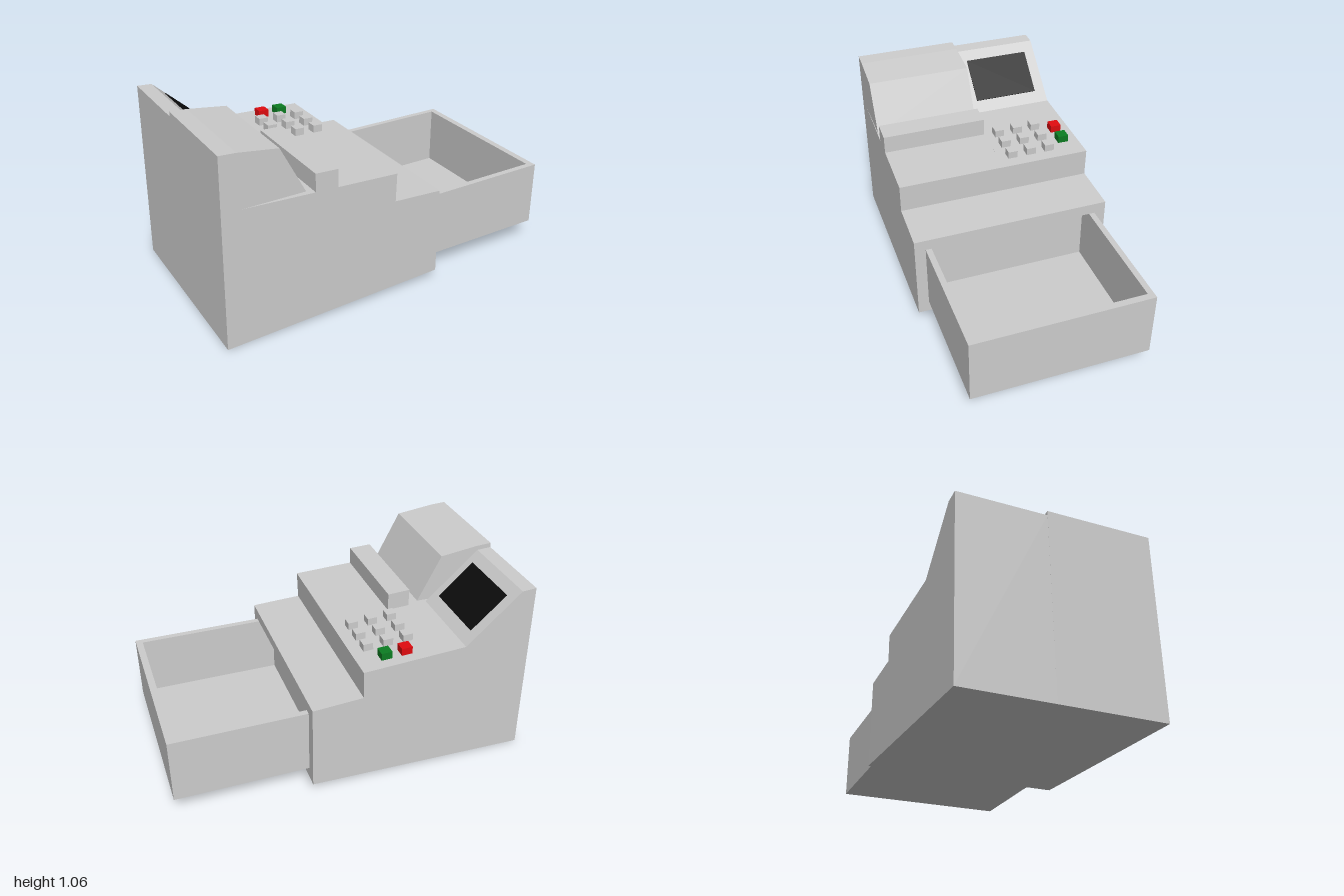
import * as THREE from 'three';

export function createModel() {
  const root = new THREE.Group();
  root.name = 'cashRegister';

  const material = (name, color) => {
    const m = new THREE.MeshStandardMaterial({ color });
    m.name = name;
    return m;
  };
  const grey = material('casing grey', 0xcccccc);
  const black = material('screen black', 0x0c0c0c);
  const red = material('cancel red', 0xe00c10);
  const green = material('confirm green', 0x0c7d22);

  const add = (name, geometry, mat, parent = root) => {
    const mesh = new THREE.Mesh(geometry, mat);
    mesh.name = name;
    parent.add(mesh);
    return mesh;
  };
  const polygon = (pts) => new THREE.Shape(pts.map(([x, y]) => new THREE.Vector2(x, y)));
  const rect = (x0, y0, x1, y1) => polygon([[x0, y0], [x1, y0], [x1, y1], [x0, y1]]);
  const extrude = (shape, depth) => new THREE.ExtrudeGeometry(shape, { depth, bevelEnabled: false });

  // Moves every vertex by a rule and refreshes the flat normals
  const reshape = (geometry, rule) => {
    const p = geometry.attributes.position;
    const v = new THREE.Vector3();
    for (let i = 0; i < p.count; i++) {
      rule(v.fromBufferAttribute(p, i));
      p.setXYZ(i, v.x, v.y, v.z);
    }
    geometry.computeVertexNormals();
    return geometry;
  };

  // The casing widens slightly towards the drawer
  const split = -0.052, seam = 0.14, face = 0.257;
  const halfWidth = (x) => 0.5425 + 0.012 * (x + 1);
  const side = (x, sign) => -0.003 + sign * halfWidth(x);

  // Side profiles of the two halves of the casing
  const base = [[seam, 0.05], [seam, 0.562], [-0.025, 0.57], [-0.02, 0.73]];
  const printerProfile = [[-1, 0.004], ...base,
    [-0.365, 0.745], [-0.365, 0.845], [-0.492, 0.851], [-0.492, 0.75],
    [-0.88, 0.767], [-0.545, 0.77], [-0.677, 1.03], [-0.89, 1.058], [-0.98, 1.063]];
  const screenProfile = [[-1, 0.004], ...base, [-0.6, 0.756], [-0.9, 1.032], [-0.98, 1.037]];

  const casingHalf = (name, profile, sign) =>
    add(name, reshape(extrude(polygon(profile), 1), (v) => {
      const outer = sign > 0 ? v.z > 0.5 : v.z < 0.5;
      v.z = outer ? side(v.x, sign) : split;
    }), grey);
  casingHalf('printerHousing', printerProfile, 1);
  casingHalf('screenHousing', screenProfile, -1);

  // Front frame with the drawer opening
  const frame = rect(-1, 0, 1, 1);
  const yBottom = 0.055, yTop = 0.556;
  const frameShape = rect(-0.555, yBottom, 0.561, yTop);
  frameShape.holes.push(rect(-0.493, 0.12, 0.497, 0.495));
  const frameGeometry = extrude(frameShape, face - seam).rotateY(Math.PI / 2).translate(seam, 0, 0);
  add('drawerFrame', reshape(frameGeometry, (v) => {
    const back = v.x < seam + 0.01;
    if (Math.abs(v.z) > 0.53) v.z = side(v.x, Math.sign(v.z));
    if (back && v.y > 0.52) v.y = 0.562;
    if (back && v.y < 0.1) v.y = 0.05;
  }), grey);

  // Open drawer: a ring of walls and a floor
  const drawer = new THREE.Group();
  drawer.name = 'drawer';
  root.add(drawer);
  const walls = rect(seam, -0.493, 1, 0.497);
  walls.holes.push(rect(0.17, -0.46, 0.962, 0.464));
  add('drawerWalls', extrude(walls, 0.375).rotateX(-Math.PI / 2).translate(0, 0.12, 0), grey, drawer);
  add('drawerFloor', new THREE.BoxGeometry(0.792, 0.03, 0.924).translate(0.566, 0.135, -0.002), grey, drawer);

  // Screen plate lying on the sloping panel
  const screen = add('screen', new THREE.BoxGeometry(0.264, 0.008, 0.38), black);
  screen.position.set(-0.7515, 0.8965, -0.295);
  screen.rotation.z = -Math.atan2(0.276, 0.3);

  // Keys standing on the gently sloping keypad
  const deckTilt = -0.043;
  const key = (name, x, z, size, mat) => {
    const mesh = add(name, new THREE.BoxGeometry(size, 0.06, size), mat);
    mesh.position.set(x, 0.73 + deckTilt * (x + 0.02) + 0.012, z);
    mesh.rotation.z = deckTilt;
  };
  for (const x of [-0.342, -0.229, -0.115])
    for (const z of [-0.354, -0.243, -0.131]) key('numberKey', x, z, 0.055, grey);
  key('cancelKey', -0.288, -0.464, 0.06, red);
  key('confirmKey', -0.174, -0.464, 0.06, green);

  return root;
}
